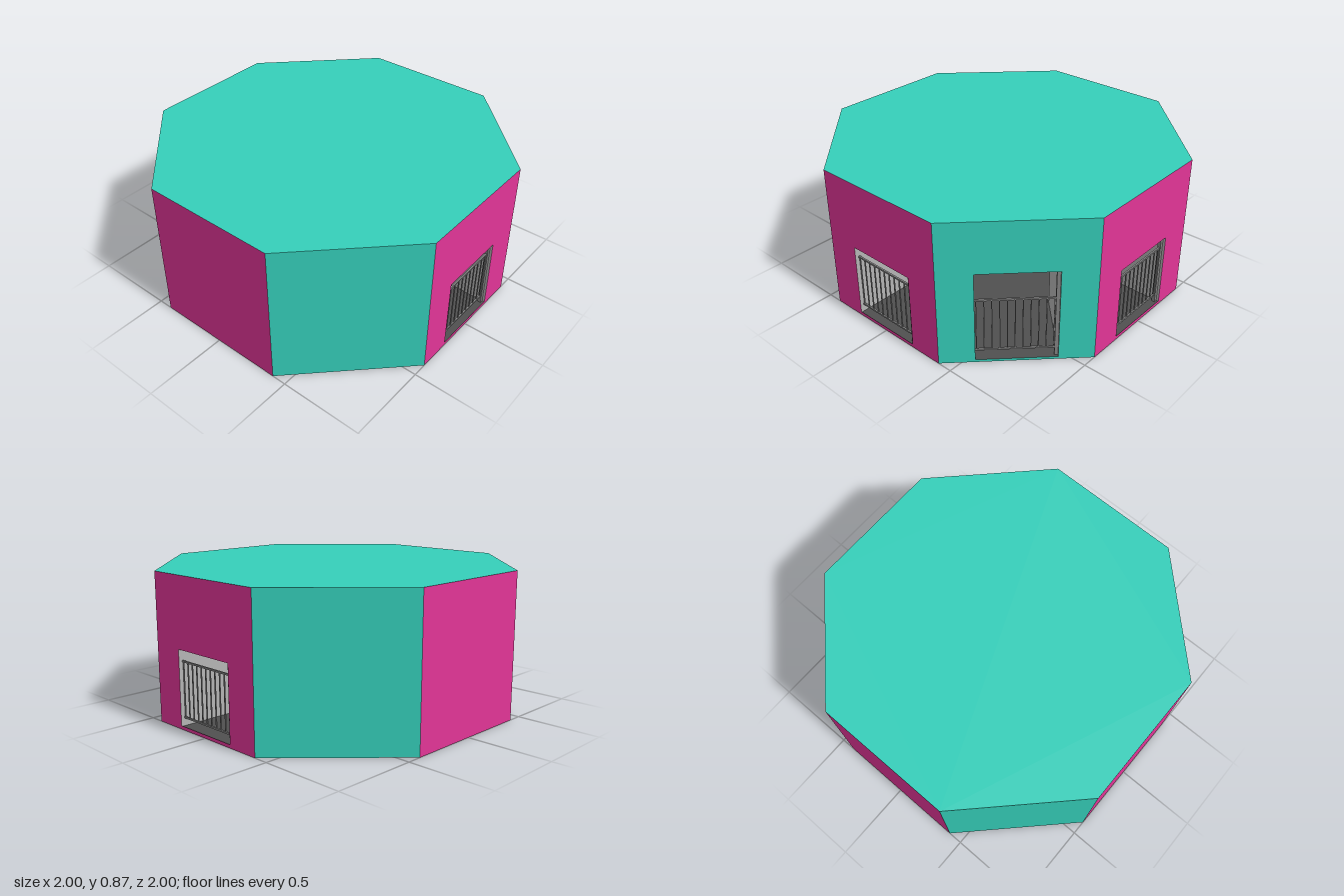
import * as THREE from 'three';

const H = 0.865;             // building height
const T = Math.SQRT2 - 1;    // half length of an octagon side
const W = 0.215;             // half width of the two low openings
const D = 0.311;             // door passage is bounded by x + z = +-D
const FLOOR = 0.015, LOW = 0.455, HIGH = 0.56;

const mat = (color, side = THREE.FrontSide) => new THREE.MeshStandardMaterial({ color, side });
const teal = mat(0x35cfba);
const pink = mat(0xe23597);
const inner = mat(0xb4b4b4, THREE.DoubleSide);
const dark = mat(0x505050, THREE.DoubleSide);
const metal = mat(0x858585);

function add(parent, name, geometry, material, x = 0, y = 0, z = 0) {
  const mesh = new THREE.Mesh(geometry, material);
  mesh.name = name;
  mesh.position.set(x, y, z);
  parent.add(mesh);
  return mesh;
}

// Horizontal polygon from [x, z] points
function slab(parent, name, points, y, material, down = false) {
  const shape = new THREE.Shape(points.map(([x, z]) => new THREE.Vector2(x, down ? z : -z)));
  const geometry = new THREE.ShapeGeometry(shape);
  geometry.rotateX(down ? Math.PI / 2 : -Math.PI / 2);
  add(parent, name, geometry, material, 0, y, 0);
}

// Chain of upright wall panels along [x, z] points
function walls(parent, name, points, y0, y1) {
  for (let i = 0; i < points.length - 1; i++) {
    const [ax, az] = points[i], [bx, bz] = points[i + 1];
    const panel = add(parent, name,
      new THREE.PlaneGeometry(Math.hypot(bx - ax, bz - az), y1 - y0), inner,
      (ax + bx) / 2, (y0 + y1) / 2, (az + bz) / 2);
    panel.rotation.y = Math.atan2(az - bz, bx - ax);
  }
}

// Railing and side post set just inside an opening
function railing(parent, half, top) {
  const group = new THREE.Group();
  group.name = 'railing';
  const z = 0.975, right = half - 0.02, width = half + right;
  for (const y of [0.065, 0.385]) {
    add(group, 'rail', new THREE.BoxGeometry(width, 0.01, 0.01), metal, (right - half) / 2, y, z);
  }
  const count = 11;
  for (let i = 0; i < count; i++) {
    const x = -half + 0.008 + (i / (count - 1)) * (width - 0.012);
    add(group, 'baluster', new THREE.BoxGeometry(0.006, 0.31, 0.006), metal, x, 0.225, z);
  }
  add(group, 'sidePost', new THREE.BoxGeometry(0.02, top - FLOOR, 0.02), metal,
    half - 0.01, (top + FLOOR) / 2, z);
  parent.add(group);
}

export function createModel() {
  const model = new THREE.Group();
  model.name = 'octagonalPavilion';

  // Outer walls, three of them with openings
  const openings = { 2: [W, 0.02, LOW], 3: [0.22, FLOOR, HIGH], 4: [W, 0.02, LOW] };
  for (let i = 0; i < 8; i++) {
    const side = new THREE.Group();
    side.name = 'side';
    side.rotation.y = i * Math.PI / 4;
    const shape = new THREE.Shape([[-T, 0], [T, 0], [T, H], [-T, H]].map(p => new THREE.Vector2(...p)));
    if (openings[i]) {
      const [w, y0, y1] = openings[i];
      shape.holes.push(new THREE.Path([[-w, y0], [-w, y1], [w, y1], [w, y0]].map(p => new THREE.Vector2(...p))));
      railing(side, w, y1);
    }
    add(side, 'outerWall', new THREE.ShapeGeometry(shape), i % 2 ? teal : pink, 0, 0, 1);
    model.add(side);
  }

  // Roof and underside
  const octagon = [[T, 1], [1, T], [1, -T], [T, -1], [-T, -1], [-1, -T], [-1, T], [-T, 1]];
  slab(model, 'roof', octagon, H, teal);
  slab(model, 'underside', octagon, 0, teal, true);

  // Plan points shared by the three joined passages
  const c = D + W, h = D / 2, s = Math.SQRT1_2;
  const eastCorner = [c, -W], northCorner = [W, -c];
  const eastDoor = [s + h, h - s], northDoor = [s - h, -s - h];
  const far = [[W, -1], [-W, -1], [-W, W], [1, W], [1, -W]];

  // Passage floor and ceilings
  slab(model, 'passageFloor', [northDoor, northCorner, ...far, eastCorner, eastDoor], FLOOR, dark);
  slab(model, 'lowCeiling', [northCorner, ...far, eastCorner, [h, h], [-h, -h]], LOW, dark);
  slab(model, 'doorCeiling', [northDoor, [-h, -h], [h, h], eastDoor], HIGH, dark);

  // Passage walls
  walls(model, 'passageWall', [far[0], northCorner], FLOOR, LOW);
  walls(model, 'passageWall', far.slice(1, 4), FLOOR, LOW);
  walls(model, 'passageWall', [far[4], eastCorner], FLOOR, LOW);
  walls(model, 'doorWall', [northCorner, northDoor], FLOOR, HIGH);
  walls(model, 'doorWall', [eastCorner, eastDoor], FLOOR, HIGH);
  walls(model, 'upperWall', [northCorner, [-h, -h], [h, h], eastCorner], LOW, HIGH);

  return model;
}
